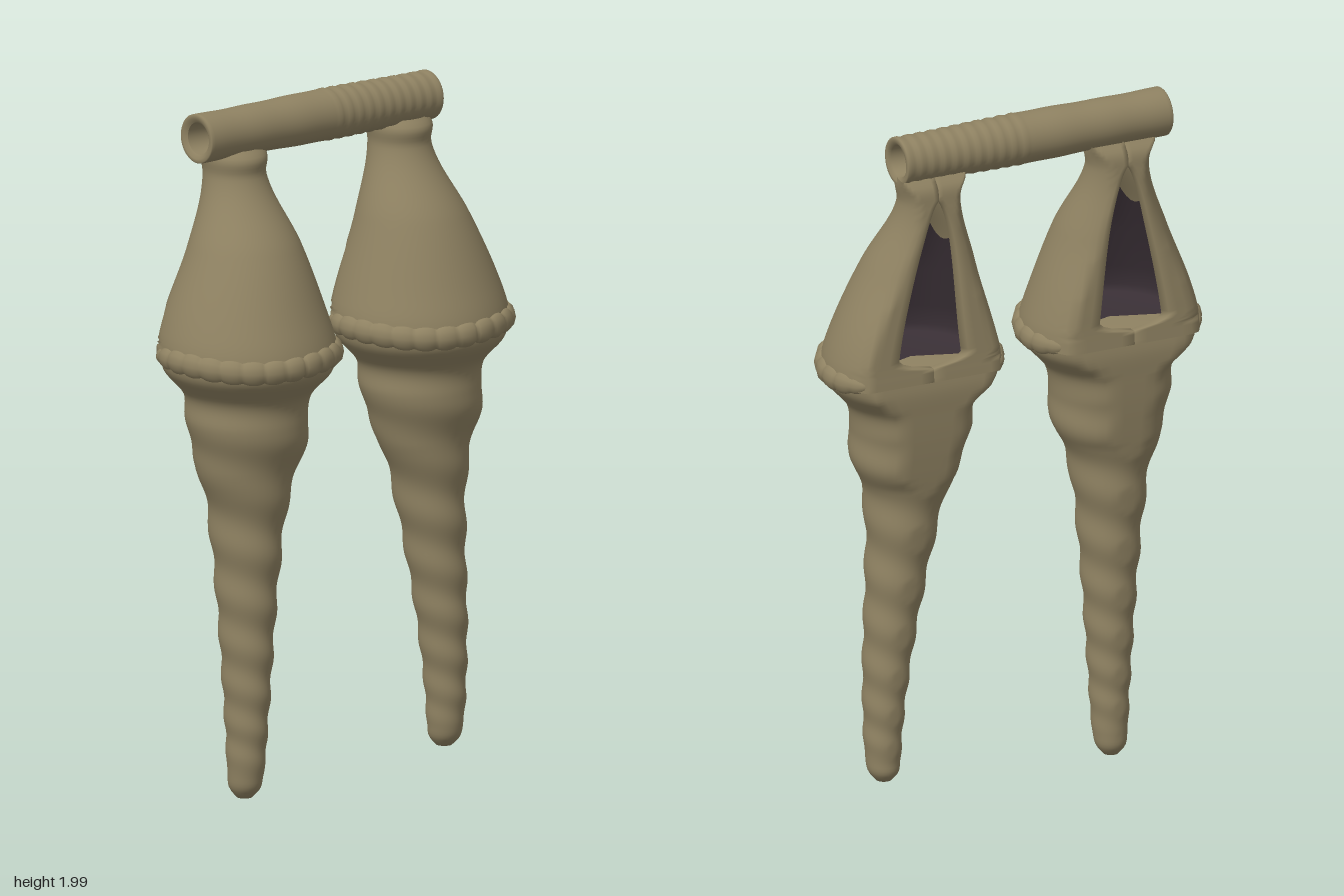
import * as THREE from 'three';

const TAU = Math.PI * 2;
const { smoothstep } = THREE.MathUtils;

const steps = (a, b, n, f) => Array.from({ length: n + 1 }, (_, i) => f(a + (b - a) * i / n));

// Skin a grid of points: rows are closed rings unless open is set
function loft(rows, open = false) {
  const n = rows[0].length, index = [];
  for (let i = 0; i < rows.length - 1; i++) {
    for (let j = 0; j < (open ? n - 1 : n); j++) {
      const k = (j + 1) % n;
      const a = i * n + j, b = i * n + k, c = a + n, d = b + n;
      index.push(a, b, d, a, d, c);
    }
  }
  const g = new THREE.BufferGeometry();
  g.setAttribute('position', new THREE.Float32BufferAttribute(rows.flat(2), 3));
  g.setIndex(index);
  g.computeVertexNormals();
  return g;
}

// Smooth sampler over rows of [y, half width, front z, back z]
function sampler(rows) {
  const curve = new THREE.CubicInterpolant(rows.map(r => r[0]), rows.flatMap(r => r.slice(1)), 3);
  return y => [...curve.evaluate(y)];
}

const hornProfile = sampler([
  [0.005, 0.022, -0.045, -0.09], [0.03, 0.041, -0.02, -0.112], [0.07, 0.048, -0.008, -0.117],
  [0.2, 0.055, 0.008, -0.125], [0.6, 0.081, 0.038, -0.153], [0.8, 0.1, 0.06, -0.175],
  [0.9, 0.119, 0.075, -0.187], [1, 0.156, 0.102, -0.2], [1.1, 0.173, 0.118, -0.21],
  [1.18, 0.182, 0.13, -0.215], [1.25, 0.24, 0.19, -0.218], [1.3, 0.25, 0.198, -0.212],
]);
const bellProfile = sampler([
  [1.28, 0.258, 0.205, -0.215], [1.33, 0.252, 0.195, -0.212], [1.4, 0.233, 0.17, -0.21],
  [1.6, 0.161, 0.085, -0.204], [1.8, 0.09, -0.035, -0.198], [1.85, 0.097, -0.034, -0.19],
  [1.875, 0.1, -0.055, -0.17],
]);

// The left pendant leans outward, sits slightly further back and ends higher
const rightSide = {
  name: 'rightPendant', bottom: 0.005,
  x: y => -0.32 + 0.01 * smoothstep(y, 1.35, 1.7),
  lift: y => y,
  recess: () => 0,
};
const leftSide = {
  name: 'leftPendant', bottom: 0.05,
  x: y => 0.32 + 0.08 * smoothstep(1.2 - y, 0, 1.1) - 0.027 * smoothstep(y, 1.35, 1.8),
  lift: y => y - 0.045 * Math.max(0, 1 - y / 1.2) - 0.0019 * smoothstep(0.1 - y, 0, 0.05) * 0.5,
  recess: y => Math.max(0, 1 - Math.abs(y - 1.3) * 1.2),
};

// Section size at a height: centre x, half width, front z, back z
function sizeAt(profile, side) {
  return y => {
    const [rx, zf, zb] = profile(side.lift(y)), r = side.recess(y);
    return [side.x(y), rx, zf - 0.025 * r, zb - 0.008 * r];
  };
}

// Point on a round section whose back is flattened at the back z
function section([cx, rx, zf, zb], y, t, scale = 1, inset = 0) {
  const zc = Math.min((zf + zb) / 2, zf - rx), rz = zf - zc;
  return [cx + rx * scale * Math.sin(t), y, Math.max(zc + rz * scale * Math.cos(t), zb + inset)];
}

// Hollow bell with a tall teardrop opening at the back
function bellGeometry(at) {
  return loft(steps(1.28, 1.875, 60, y => {
    const s = at(y), u = (y - 1.32) / 0.49;
    const w = u > 0 && u < 1 ? 0.115 * Math.pow(1 - u, 0.6) * Math.min(1, u * 14 + 0.3) : 0;
    const end = Math.PI - Math.asin(Math.min(0.9, w / s[1]));
    return [
      ...steps(-end, end, 40, t => section(s, y, t)),
      ...steps(end, -end, 40, t => section(s, y, t, 0.88, 0.022)),
    ];
  }));
}

// Dark floor and front wall inside the bell, with a ragged top edge
function liningGeometry(at) {
  const fan = (y, k, ragged = 0) => steps(1.9, -1.9, 36, t => {
    const h = y - ragged * (0.04 * Math.abs(Math.sin(t * 5)) + 0.03 * Math.sin(t * 3));
    return section(at(h), h, t, k, 0.03);
  });
  const wall = steps(1.33, 1.57, 4, y => fan(y, 0.86));
  return loft([fan(1.312, 0), fan(1.312, 0.8), ...wall, fan(1.66, 0.86, 1)], true);
}

// Scalloped bead round the front and sides of the rim
function beadGeometry(at) {
  return loft(steps(-2.15, 2.15, 170, t => {
    const [x, y, z] = section(at(1.3), 1.296 + 0.006 * Math.sin(t * 3), t, 0.965);
    const fade = Math.sqrt(Math.max(0, 1 - Math.pow(Math.abs(t) / 2.15, 8)));
    const r = 0.036 * fade * (0.75 + 0.25 * Math.sqrt(Math.abs(Math.sin(t * 13))));
    return Array.from({ length: 10 }, (_, j) => {
      const f = j / 10 * TAU, out = r * 0.72 * Math.cos(f);
      return [x + out * Math.sin(t), y - r * Math.sin(f), z + out * Math.cos(t)];
    });
  }));
}

// Tapering body with a spiral ridge, closed at both ends
function hornGeometry(at, bottom) {
  const ring = (y, k) => Array.from({ length: 36 }, (_, j) => {
    const t = j / 36 * TAU;
    const turn = Math.log(0.08 + 0.11 * y) / 0.11;
    const amp = 0.045 * smoothstep(1.22 - y, 0, 0.2) * smoothstep(y, bottom, 0.2);
    return section(at(y), y, t, k * (1 + amp * Math.sin(turn * TAU + t)));
  });
  const body = steps(bottom, 1.29, 130, y => ring(y, 1));
  return loft([ring(bottom, 0), ...body, ring(1.3, 0.5), ring(1.3, 0)]);
}

// Hollow crossbar with faint coils towards one end
function barGeometry() {
  const outer = steps(-0.46, 0.385, 90, x => {
    const coil = x > 0 ? 0.0018 * Math.sin(x * 170) : 0.0006 * Math.sin(x * 40);
    return [0.0715 + coil + 0.002 * Math.cos(x * 9), x];
  });
  const profile = [
    [0.046, -0.455], [0.058, -0.464], [0.068, -0.463],
    ...outer,
    [0.068, 0.388], [0.058, 0.389], [0.046, 0.38],
    [0.044, 0.3], [0.044, -0.4], [0.046, -0.455],
  ];
  const points = profile.map(([r, x]) => new THREE.Vector2(r, x));
  return new THREE.LatheGeometry(points, 36).rotateZ(-Math.PI / 2);
}

export function createModel() {
  const clay = new THREE.MeshStandardMaterial({ color: 0x8f8262 });
  clay.name = 'olive clay';
  const dark = new THREE.MeshStandardMaterial({ color: 0x3a3036 });
  dark.name = 'dark hollow';

  const model = new THREE.Group();
  model.name = 'twinPendants';
  const add = (parent, name, geometry, material) => {
    const mesh = new THREE.Mesh(geometry, material);
    mesh.name = name;
    parent.add(mesh);
    return mesh;
  };

  const bar = add(model, 'crossbar', barGeometry(), clay);
  bar.position.set(0, 1.922, -0.115);
  bar.rotation.y = 0.02;

  for (const side of [rightSide, leftSide]) {
    const group = new THREE.Group();
    group.name = side.name;
    model.add(group);
    const bell = sizeAt(bellProfile, side);
    add(group, 'bell', bellGeometry(bell), clay);
    add(group, 'bellLining', liningGeometry(bell), dark);
    add(group, 'rimBead', beadGeometry(bell), clay);
    add(group, 'spiralHorn', hornGeometry(sizeAt(hornProfile, side), side.bottom), clay);
  }
  return model;
}
